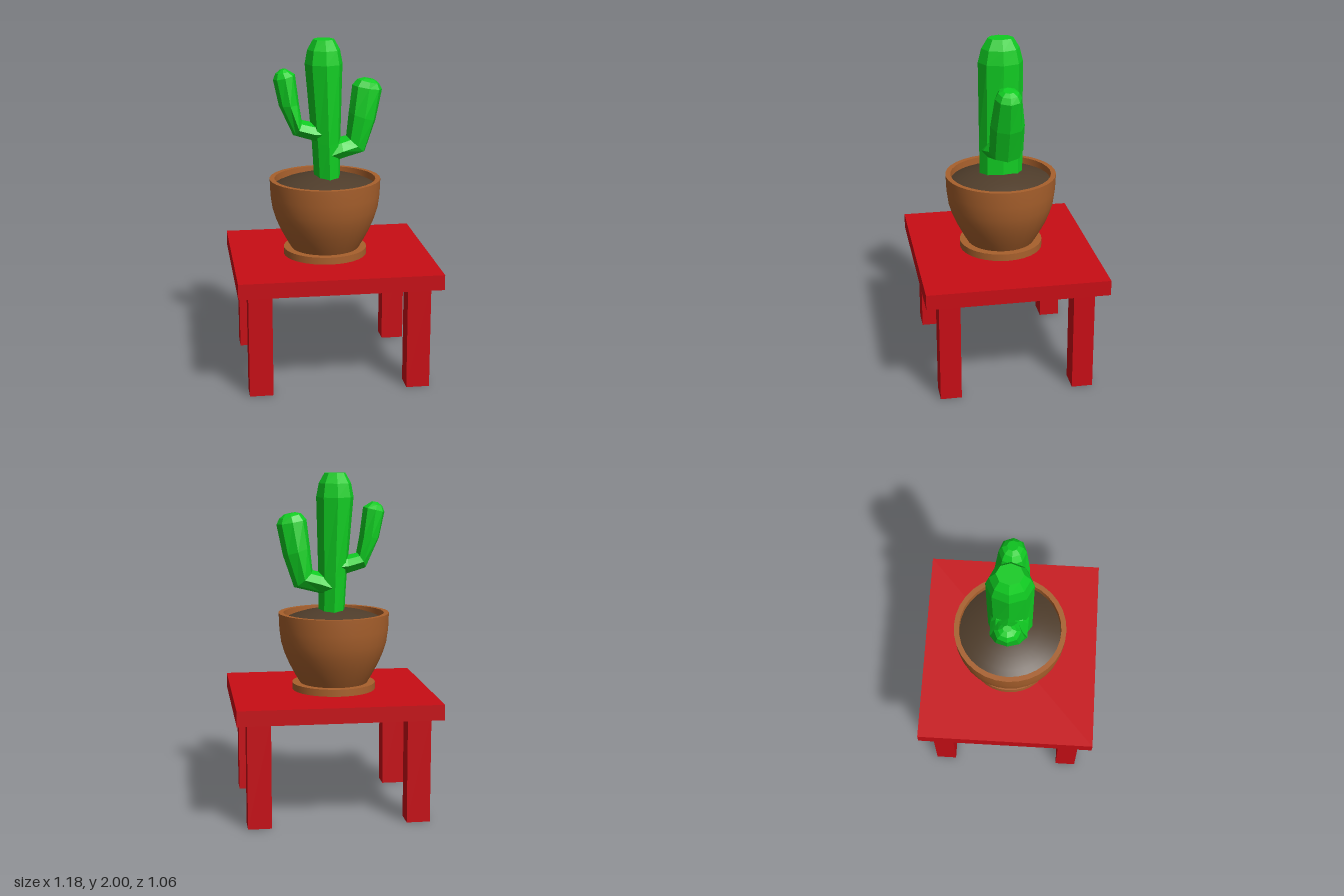
import * as THREE from 'three';
import { toCreasedNormals } from 'three/addons/utils/BufferGeometryUtils.js';

const mat = (color, opts = {}) => new THREE.MeshStandardMaterial({ color, ...opts });
const red = mat(0xc80d15);
const clay = mat(0xa8602c);
const earth = mat(0x4f3d2b);
const green = mat(0x10cc22, { flatShading: true });

function add(parent, name, geometry, material, x = 0, y = 0, z = 0) {
  const mesh = new THREE.Mesh(geometry, material);
  mesh.name = name;
  mesh.position.set(x, y, z);
  parent.add(mesh);
  return mesh;
}

function lathe(points, segments = 32) {
  const profile = points.map(([r, y]) => new THREE.Vector2(r, y));
  return toCreasedNormals(new THREE.LatheGeometry(profile, segments), 0.7);
}

// Faceted stem through octagonal sections [innerX, innerY, outerX, outerY, halfDepth].
// A stem growing towards -x uses side = -1 so that its faces still point outwards.
function stem(sections, side = 1) {
  const N = 8, pos = [], index = [];
  for (const [ix, iy, ox, oy, depth] of sections) {
    for (let k = 0; k < N; k++) {
      const a = (k / N) * Math.PI * 2;
      const c = Math.cos(a) / 2;
      pos.push((ix + ox) / 2 + c * (ox - ix), (iy + oy) / 2 + c * (oy - iy), side * depth * Math.sin(a));
    }
  }
  const last = (sections.length - 1) * N;
  for (let r = 0; r < last; r += N) {
    for (let k = 0; k < N; k++) {
      const a = r + k, b = r + (k + 1) % N;
      index.push(a, a + N, b, b, a + N, b + N);
    }
  }
  for (let k = 1; k < N - 1; k++) {
    index.push(0, k, k + 1, last, last + k + 1, last + k);
  }
  const g = new THREE.BufferGeometry();
  g.setAttribute('position', new THREE.Float32BufferAttribute(pos, 3));
  g.setIndex(index);
  const flat = g.toNonIndexed();
  flat.computeVertexNormals();
  return flat;
}

export function createModel() {
  const model = new THREE.Group();
  model.name = 'pottedCactusOnTable';

  // Table
  const table = new THREE.Group();
  table.name = 'table';
  model.add(table);
  add(table, 'tableTop', new THREE.BoxGeometry(1.18, 0.09, 1.064), red, 0, 0.668, 0);
  for (const sx of [-1, 1]) {
    for (const sz of [-1, 1]) {
      add(table, 'tableLeg', new THREE.BoxGeometry(0.137, 0.63, 0.124), red, sx * 0.461, 0.315, sz * 0.393);
    }
  }

  // Pot, saucer and soil share one axis
  const planter = new THREE.Group();
  planter.name = 'planter';
  planter.position.x = -0.027;
  model.add(planter);
  add(planter, 'saucer', new THREE.CylinderGeometry(0.249, 0.249, 0.042, 32), clay, 0, 0.734, 0);
  add(planter, 'pot', lathe([
    [0.2, 0.75], [0.23, 0.8], [0.267, 0.87], [0.295, 0.935], [0.315, 1.0], [0.326, 1.08], [0.33, 1.176],
    [0.3, 1.176], [0.296, 1.08],
  ]), clay);
  add(planter, 'soil', lathe([[0.3, 1.135], [0.25, 1.158], [0.18, 1.18], [0.09, 1.198], [0, 1.2]]), earth);

  // Cactus
  const cactus = new THREE.Group();
  cactus.name = 'cactus';
  model.add(cactus);
  add(cactus, 'trunk', stem([
    [-0.09, 1.15, 0.065, 1.15, 0.128],
    [-0.105, 1.4, 0.065, 1.4, 0.13],
    [-0.145, 1.86, 0.077, 1.86, 0.132],
    [-0.13, 1.94, 0.062, 1.94, 0.112],
    [-0.096, 2.0, 0.028, 2.0, 0.075],
  ]), green);
  add(cactus, 'leftArm', stem([
    [0.0, 1.4, 0.0, 1.27, 0.12],
    [0.06, 1.42, 0.07, 1.295, 0.12],
    [0.1, 1.43, 0.21, 1.33, 0.1],
    [0.115, 1.57, 0.275, 1.52, 0.1],
    [0.135, 1.73, 0.312, 1.7, 0.078],
    [0.165, 1.765, 0.295, 1.735, 0.06],
    [0.2, 1.772, 0.27, 1.757, 0.032],
  ]), green);
  add(cactus, 'rightArm', stem([
    [-0.03, 1.53, -0.03, 1.38, 0.108],
    [-0.1, 1.515, -0.1, 1.405, 0.107],
    [-0.165, 1.53, -0.215, 1.44, 0.105],
    [-0.18, 1.63, -0.298, 1.62, 0.092],
    [-0.202, 1.8, -0.33, 1.77, 0.074],
    [-0.235, 1.82, -0.316, 1.805, 0.05],
    [-0.255, 1.832, -0.29, 1.826, 0.025],
  ], -1), green);

  return model;
}
